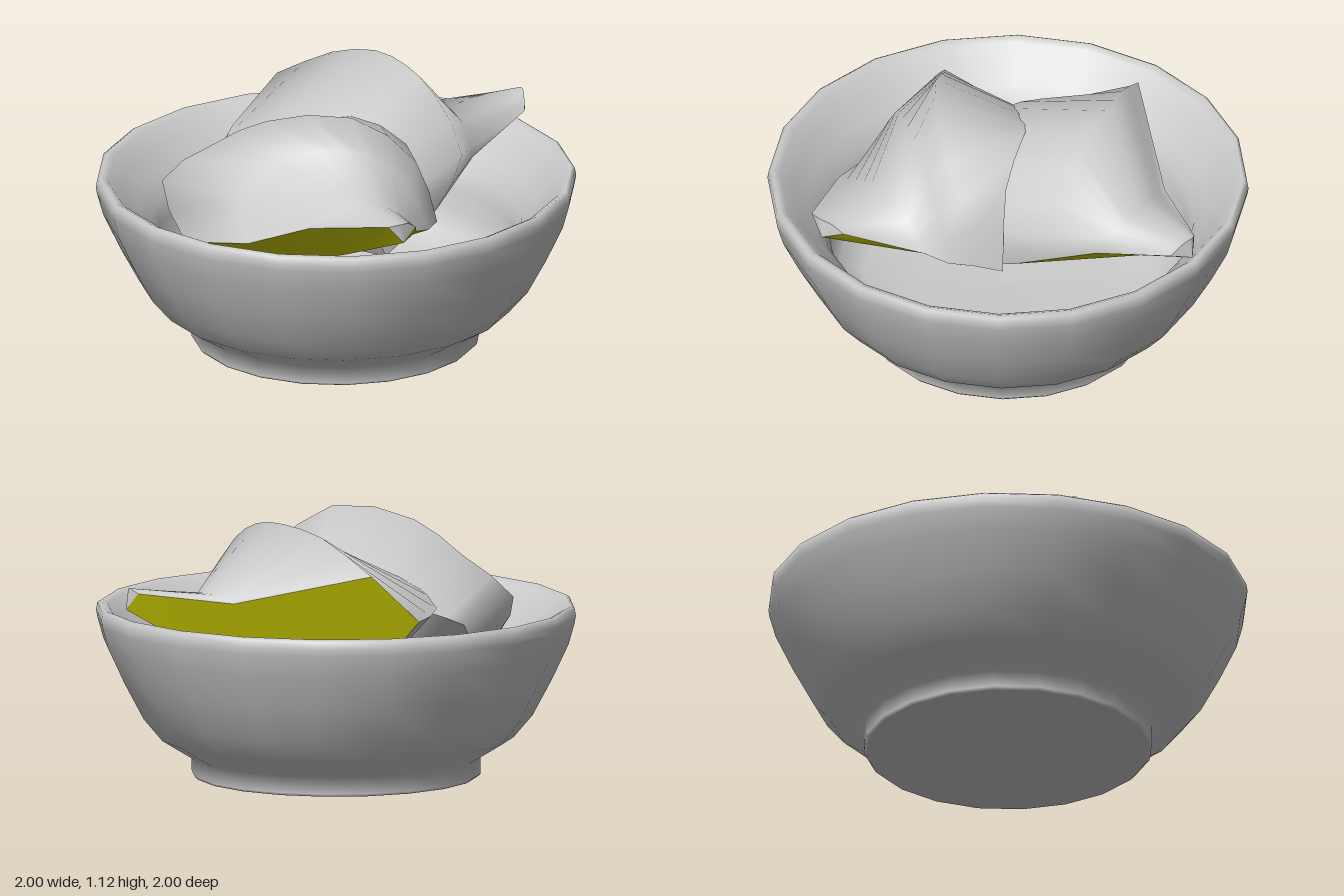
import * as THREE from 'three';

const grey = new THREE.MeshStandardMaterial({ color: 0xcccccc, side: THREE.DoubleSide });
const yellow = new THREE.MeshStandardMaterial({ color: 0xcccc00, side: THREE.DoubleSide });
const N = 12; // steps across the skin of a wedge

const vec = (p) => new THREE.Vector3(...p);

// Surface lofted through rows that have equal point counts
function loft(rows, material, name) {
  const w = rows[0].length, index = [];
  for (let i = 0; i < rows.length - 1; i++) {
    for (let j = 0; j < w - 1; j++) {
      const a = i * w + j, b = a + w;
      index.push(a, b, a + 1, b, b + 1, a + 1);
    }
  }
  const geo = new THREE.BufferGeometry().setFromPoints(rows.flat());
  geo.setIndex(index);
  geo.computeVertexNormals();
  const mesh = new THREE.Mesh(geo, material);
  mesh.name = name;
  return mesh;
}

// Quarter of a fruit: skin arcs run from one cut face to the other,
// core points lie along the edge where the two cut faces meet
function fruitWedge(name, arcs, core) {
  const group = new THREE.Group();
  group.name = name;
  const rows = arcs.map((arc) => new THREE.CatmullRomCurve3(arc.map(vec)).getPoints(N));
  const mid = core.map(vec);
  group.add(loft(rows, grey, 'skin'));
  group.add(loft(rows.map((r, i) => [mid[i], r[0]]), yellow, 'firstCutFace'));
  group.add(loft(rows.map((r, i) => [r[N], mid[i]]), yellow, 'secondCutFace'));
  const last = rows.length - 1;
  group.add(loft([rows[0].map(() => mid[0]), rows[0]], grey, 'stemTip'));
  group.add(loft([rows[last], rows[last].map(() => mid[last])], grey, 'roundEnd'));
  return group;
}

// Bowl with a foot, a wide sloping lip and a steep inner wall
function createBowl() {
  const profile = [
    [0, 0], [0.53, 0], [0.59, 0.008], [0.602, 0.02], [0.602, 0.09],
    [0.74, 0.175], [0.82, 0.27], [0.9, 0.42], [0.97, 0.57], [0.995, 0.66], [1, 0.69],
    [0.995, 0.72], [0.98, 0.73], [0.95, 0.715], [0.9, 0.66], [0.83, 0.58], [0.775, 0.51],
    [0.75, 0.44], [0.74, 0.36], [0.7, 0.27], [0.6, 0.21], [0.4, 0.18], [0, 0.17],
  ].map(([x, y]) => new THREE.Vector2(x, y));
  const bowl = new THREE.Mesh(new THREE.LatheGeometry(profile, 20), grey);
  bowl.name = 'bowl';
  return bowl;
}

export function createModel() {
  const model = new THREE.Group();
  model.name = 'fruitBowl';
  model.add(createBowl());

  // Rear wedge, its stem resting on the back of the rim
  model.add(fruitWedge('rearWedge', [
    [[-0.02, 0.85, -0.97], [0.02, 0.87, -0.99], [0.06, 0.85, -0.97], [0.1, 0.8, -0.94]],
    [[-0.24, 0.81, -0.64], [-0.1, 0.83, -0.65], [0.06, 0.81, -0.64], [0.17, 0.7, -0.6]],
    [[-0.62, 0.94, -0.2], [-0.38, 1.08, -0.3], [-0.2, 1.12, -0.38], [-0.02, 1.1, -0.4],
      [0.12, 1.02, -0.42], [0.29, 0.78, -0.44], [0.31, 0.58, -0.28]],
    [[-0.67, 0.74, 0], [-0.48, 0.755, 0.2], [-0.25, 0.83, 0.22], [-0.05, 0.84, 0.18],
      [0.18, 0.75, 0.12], [0.3, 0.6, 0.06], [0.32, 0.45, 0]],
  ], [[0.03, 0.78, -1], [-0.09, 0.6, -0.72], [-0.18, 0.45, -0.49], [-0.3, 0.27, -0.21]]));

  // Front wedge, its stem pointing to the side
  model.add(fruitWedge('frontWedge', [
    [[0.81, 0.82, 0.4], [0.82, 0.82, 0.35], [0.81, 0.81, 0.29], [0.8, 0.78, 0.24]],
    [[0.46, 0.745, 0.53], [0.49, 0.795, 0.38], [0.51, 0.8, 0.25], [0.53, 0.74, 0.12], [0.54, 0.63, 0.02]],
    [[0.18, 0.62, 0.63], [0.07, 0.8, 0.57], [0.15, 0.93, 0.46], [0.28, 0.98, 0.32],
      [0.38, 0.96, 0.16], [0.47, 0.8, 0], [0.5, 0.6, -0.08]],
    [[-0.12, 0.56, 0.715], [-0.35, 0.75, 0.65], [-0.2, 0.92, 0.49], [0, 1.05, 0.38],
      [0.28, 1.09, 0.15], [0.42, 0.88, -0.08], [0.45, 0.6, -0.17]],
    [[-0.2, 0.45, 0.55], [-0.4, 0.66, 0.38], [-0.4, 0.73, 0.2], [-0.22, 0.87, 0.05],
      [0, 0.96, -0.08], [0.24, 0.88, -0.18], [0.35, 0.55, -0.25]],
  ], [[0.83, 0.74, 0.33], [0.5, 0.6, 0.36], [0.28, 0.51, 0.36], [0.05, 0.42, 0.36], [-0.08, 0.34, 0.2]]));

  return model;
}
